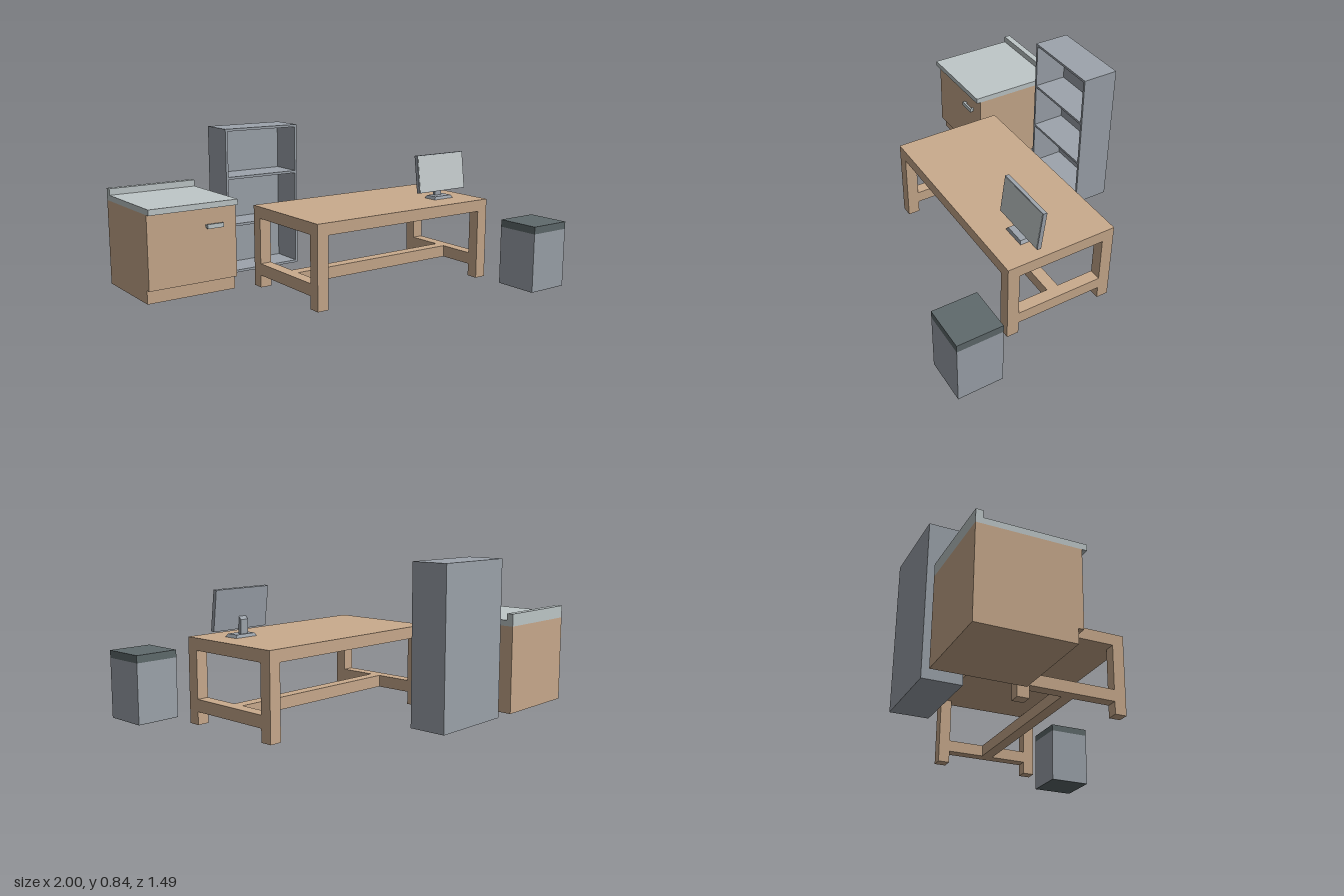
import * as THREE from 'three';

const material = (name, color) => {
  const m = new THREE.MeshStandardMaterial({ color });
  m.name = name;
  return m;
};

export function createModel() {
  const wood = material('wood', 0xcaab8d);
  const grey = material('greyMetal', 0x9da4ac);
  const pale = material('paleStone', 0xbfc8c9);
  const screenPale = material('paleScreen', 0xc8d0d1);
  const dark = material('darkPlastic', 0x5f6a6c);

  const model = new THREE.Group();
  model.name = 'officeFurniture';

  const group = (name) => {
    const g = new THREE.Group();
    g.name = name;
    model.add(g);
    return g;
  };

  // Box given by its limits along each axis
  const box = (parent, name, mat, [x0, x1], [y0, y1], [z0, z1]) => {
    const mesh = new THREE.Mesh(new THREE.BoxGeometry(x1 - x0, y1 - y0, z1 - z0), mat);
    mesh.position.set((x0 + x1) / 2, (y0 + y1) / 2, (z0 + z1) / 2);
    mesh.name = name;
    parent.add(mesh);
    return mesh;
  };

  // Desk: thick top, four legs, H-shaped stretcher
  const desk = group('desk');
  const legXs = [[-0.366, -0.301], [0.725, 0.79]];
  const legZs = [[-0.256, -0.191], [0.289, 0.354]];
  box(desk, 'deskTop', wood, [-0.366, 0.79], [0.385, 0.449], [-0.256, 0.354]);
  for (const lx of legXs) {
    for (const lz of legZs) box(desk, 'deskLeg', wood, lx, [0, 0.385], lz);
    box(desk, 'sideStretcher', wood, lx, [0.069, 0.134], [-0.191, 0.289]);
  }
  box(desk, 'longStretcher', wood, [-0.301, 0.725], [0.069, 0.134], [0.017, 0.081]);

  // Cabinet: recessed plinth, body, worktop with upstand, bar handle
  const cabinet = group('cabinet');
  const cx = [-1, -0.49];
  box(cabinet, 'plinth', wood, cx, [0, 0.074], [-0.745, -0.262]);
  box(cabinet, 'cabinetBody', wood, cx, [0.074, 0.472], [-0.745, -0.235]);
  box(cabinet, 'worktop', pale, cx, [0.472, 0.503], [-0.745, -0.21]);
  box(cabinet, 'upstand', pale, cx, [0.503, 0.539], [-0.745, -0.709]);
  box(cabinet, 'handleBar', pale, [-0.67, -0.575], [0.362, 0.386], [-0.223, -0.212]);
  for (const x of [-0.67, -0.589])
    box(cabinet, 'handlePost', pale, [x, x + 0.014], [0.366, 0.382], [-0.235, -0.223]);

  // Bookcase: open front with three compartments
  const bookcase = group('bookcase');
  const bz = [-0.745, -0.539], inner = [-0.361, 0.087];
  box(bookcase, 'rightSide', grey, [-0.375, -0.361], [0, 0.837], bz);
  box(bookcase, 'leftSide', grey, [0.087, 0.101], [0, 0.837], bz);
  box(bookcase, 'backPanel', grey, inner, [0, 0.837], [-0.745, -0.731]);
  for (const y of [0, 0.275, 0.549, 0.823])
    box(bookcase, 'shelf', grey, inner, [y, y + 0.014], [-0.731, -0.539]);

  // Monitor: bevelled base, stand with sloping top, tilted panel
  const monitor = group('monitor');
  const mx = 0.6065;
  const baseGeo = new THREE.BoxGeometry(0.136, 0.016, 0.084);
  const p = baseGeo.attributes.position;
  for (let i = 0; i < p.count; i++)
    if (p.getY(i) > 0) p.setXYZ(i, p.getX(i) * 0.84, p.getY(i), p.getZ(i) * 0.84);
  baseGeo.computeVertexNormals();
  const base = new THREE.Mesh(baseGeo, grey);
  base.name = 'monitorBase';
  base.position.set(mx - 0.008, 0.457, 0.168);
  monitor.add(base);

  const profile = new THREE.Shape([
    [-0.143, 0.464], [-0.143, 0.538], [-0.158, 0.555], [-0.162, 0.464],
  ].map(([x, y]) => new THREE.Vector2(x, y)));
  const stand = new THREE.Mesh(
    new THREE.ExtrudeGeometry(profile, { depth: 0.045, bevelEnabled: false }), grey);
  stand.name = 'monitorStand';
  stand.rotation.y = Math.PI / 2;
  stand.position.x = mx - 0.031;
  monitor.add(stand);

  const panel = new THREE.Group();
  panel.name = 'monitorPanel';
  panel.position.set(mx, 0.595, 0.163);
  panel.rotation.x = -0.126;
  monitor.add(panel);
  box(panel, 'panelBody', grey, [-0.169, 0.169], [-0.105, 0.105], [-0.011, 0.011]);
  box(panel, 'screen', screenPale, [-0.165, 0.165], [-0.101, 0.101], [0.011, 0.013]);

  // Waste bin with dark lid and underside
  const bin = group('wasteBin');
  const wx = [0.758, 1], wz = [0.504, 0.745];
  box(bin, 'binUnderside', dark, wx, [0, 0.002], wz);
  box(bin, 'binBody', grey, wx, [0.002, 0.32], wz);
  box(bin, 'binLid', dark, wx, [0.32, 0.36], wz);

  return model;
}
